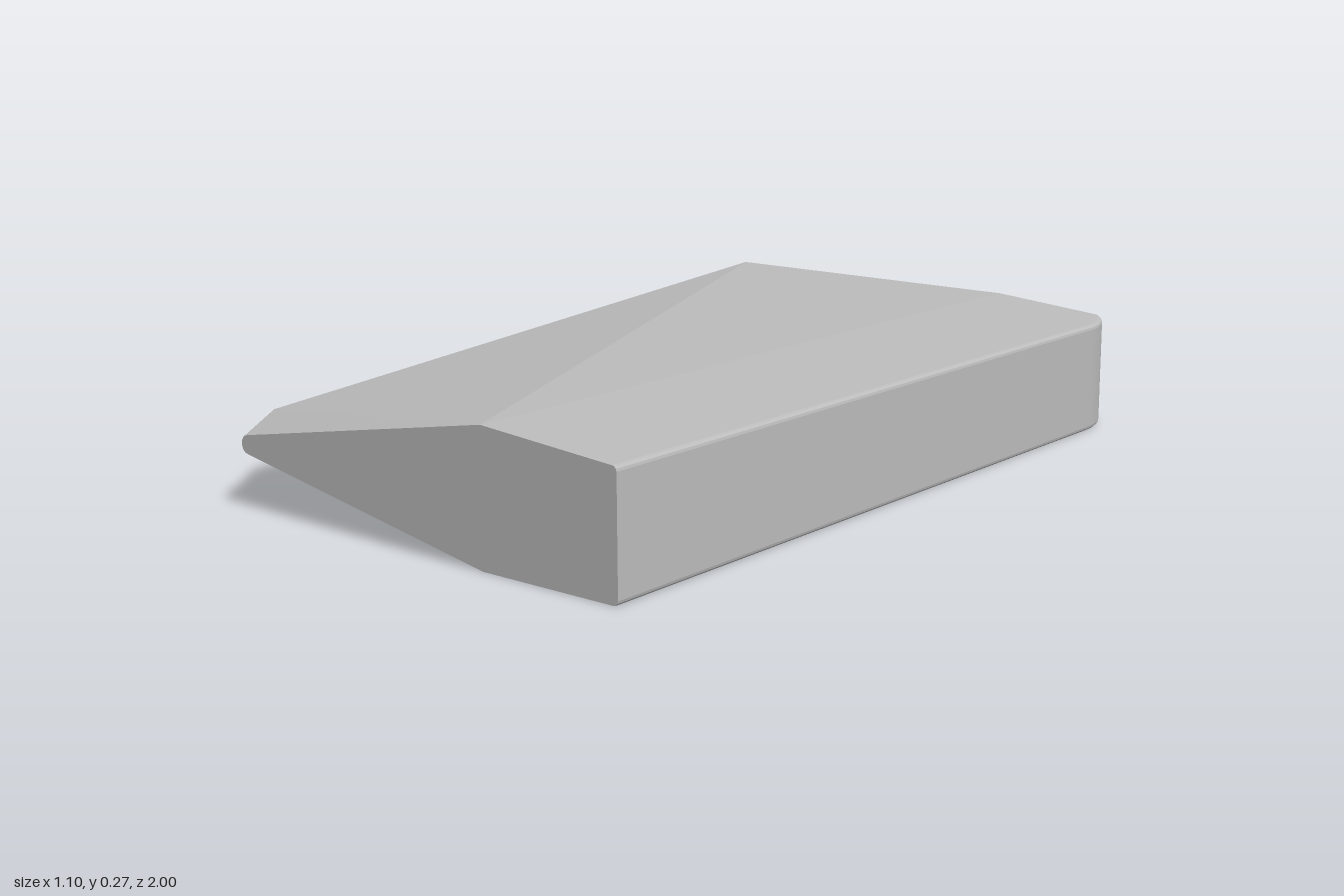
import * as THREE from 'three';
import { ConvexGeometry } from 'three/addons/geometries/ConvexGeometry.js';

export function createModel() {
  const grey = new THREE.MeshStandardMaterial({ color: 0xbcbcbc });
  grey.name = 'plainGrey';
  const points = [];
  const add = (x, y, z) => points.push(new THREE.Vector3(x, y, z));

  // Ridge across the front and tall back-right corner of the slab
  for (const y of [0, 0.268]) {
    add(0.23, y, 1);
    add(0.23, y, -0.745);
    add(-0.55, y, -0.755);
  }

  // Thin rounded wedge edge along the front chamfer
  for (let i = 0; i <= 8; i++) {
    const a = -Math.PI / 2 + (i / 8) * Math.PI;
    const y = 0.134 + 0.019 * Math.sin(a);
    add(-0.412 - 0.017 * Math.cos(a), y, 1);
    add(-0.55, y, 0.82);
  }

  // Straight side wall and its rounded rear corner, with softened rims
  const corner = new THREE.QuadraticBezierCurve(
    new THREE.Vector2(0.547, -0.61),
    new THREE.Vector2(0.547, -0.695),
    new THREE.Vector2(0.5, -0.742)
  );
  const rim = [[0.01, 0], [0.005, 0.0013], [0.0013, 0.005], [0, 0.01]];
  const wallPoint = (x, z, nx, nz) => {
    const top = 0.268 - 0.075 * (x - 0.23);
    for (const [inset, drop] of rim) {
      add(x - nx * inset, drop, z - nz * inset);
      add(x - nx * inset, top - drop, z - nz * inset);
    }
  };
  wallPoint(0.547, 1, 1, 0);
  for (let i = 0; i <= 10; i++) {
    const p = corner.getPoint(i / 10);
    const t = corner.getTangent(i / 10);
    wallPoint(p.x, p.y, -t.y, t.x);
  }

  // Rounded nose at the rear: plan outline repeated at each height
  const noseOutline = [
    [-0.37, -0.967], [-0.358, -0.983], [-0.342, -0.995], [-0.318, -1],
    [0.2, -1], [0.222, -0.996], [0.24, -0.986], [0.26, -0.968]
  ];
  const noseLevels = [[0.071, 0.012], [0.074, 0.003], [0.082, 0]];
  for (let i = 0; i <= 8; i++) {
    const a = (i / 8) * 1.25;
    noseLevels.push([0.148 + 0.058 * Math.sin(a), 0.058 * (1 - Math.cos(a))]);
  }
  for (const [y, inset] of noseLevels)
    for (const [x, z] of noseOutline)
      add(x * (1 - inset * 0.3), y, z + inset);

  const body = new THREE.Mesh(new ConvexGeometry(points), grey);
  body.name = 'taperedSlab';

  const group = new THREE.Group();
  group.name = 'chamferedBlock';
  group.add(body);
  return group;
}
